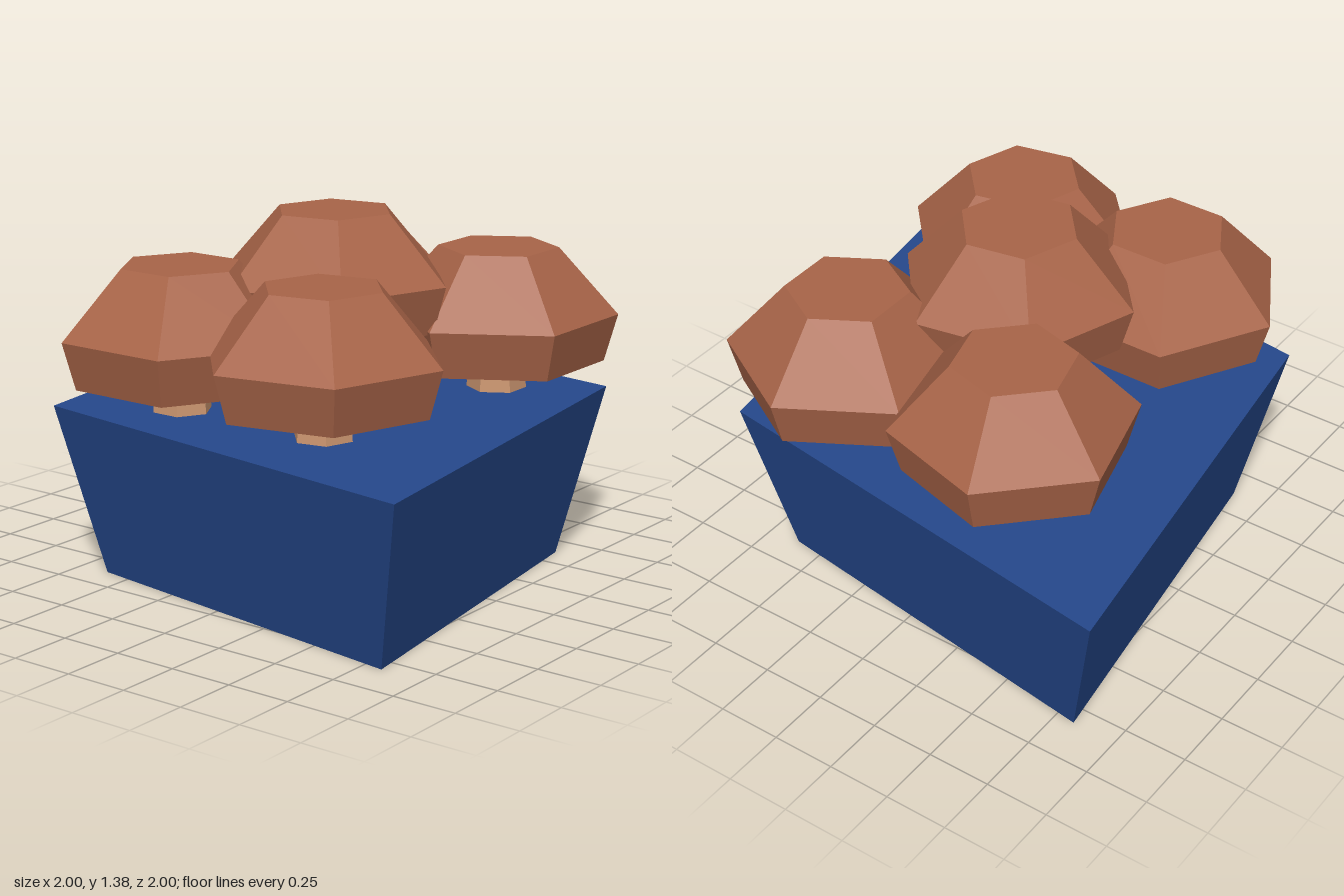
import * as THREE from 'three';

const material = (name, color) => {
  const m = new THREE.MeshStandardMaterial({ color });
  m.name = name;
  return m;
};

// One normal per face for a faceted look
const facet = (geometry) => {
  const g = geometry.index ? geometry.toNonIndexed() : geometry;
  g.computeVertexNormals();
  return g;
};

const addMesh = (parent, name, geometry, mat) => {
  const mesh = new THREE.Mesh(facet(geometry), mat);
  mesh.name = name;
  parent.add(mesh);
  return mesh;
};

export function createModel() {
  const blue = material('tray blue', 0x25488c);
  const brown = material('cap brown', 0xa86448);
  const tan = material('stem tan', 0xcc9670);
  const model = new THREE.Group();
  model.name = 'mushroomTray';

  // Tray: tapered four-sided block, two opposite corners pulled in
  const trayHeight = 0.665;
  const tray = new THREE.CylinderGeometry(Math.SQRT2, Math.SQRT2 * 0.825, trayHeight, 4, 1, false, Math.PI / 4);
  const p = tray.attributes.position;
  for (let i = 0; i < p.count; i++) {
    const k = p.getX(i) * p.getZ(i) > 0 ? 0.75 : 1;
    p.setXYZ(i, p.getX(i) * k, p.getY(i) + trayHeight / 2, p.getZ(i) * k);
  }
  addMesh(model, 'tray', tray, blue);

  // Mushroom: hexagonal stem and faceted cap sharing one turn angle
  const addMushroom = (name, x, z, capY, degrees, stemRadius) => {
    const turn = THREE.MathUtils.degToRad(degrees);
    const group = new THREE.Group();
    group.name = name;
    group.position.set(x, 0, z);

    const stemBase = 0.6;
    const stemHeight = capY + 0.04 - stemBase;
    const stem = new THREE.CylinderGeometry(
      stemRadius - 0.08 * stemHeight, stemRadius, stemHeight, 6, 1, false, turn);
    stem.translate(0, stemBase + stemHeight / 2, 0);
    addMesh(group, 'stem', stem, tan);

    const profile = [[0, 0], [0.41, 0], [0.46, 0.182], [0.23, 0.437], [0, 0.437]]
      .map(([r, y]) => new THREE.Vector2(r, y));
    const cap = new THREE.LatheGeometry(profile, 6, turn);
    cap.translate(0, capY, 0);
    addMesh(group, 'cap', cap, brown);
    model.add(group);
  };

  addMushroom('centreMushroom', 0, 0, 0.947, 10.5, 0.13);
  addMushroom('backRightMushroom', -0.5, -0.33, 0.779, 0, 0.12);
  addMushroom('backLeftMushroom', 0.5, -0.335, 0.779, 45, 0.12);
  addMushroom('frontRightMushroom', -0.5, 0.33, 0.779, 12, 0.12);
  addMushroom('frontLeftMushroom', 0.495, 0.41, 0.779, 30.5, 0.12);

  return model;
}
